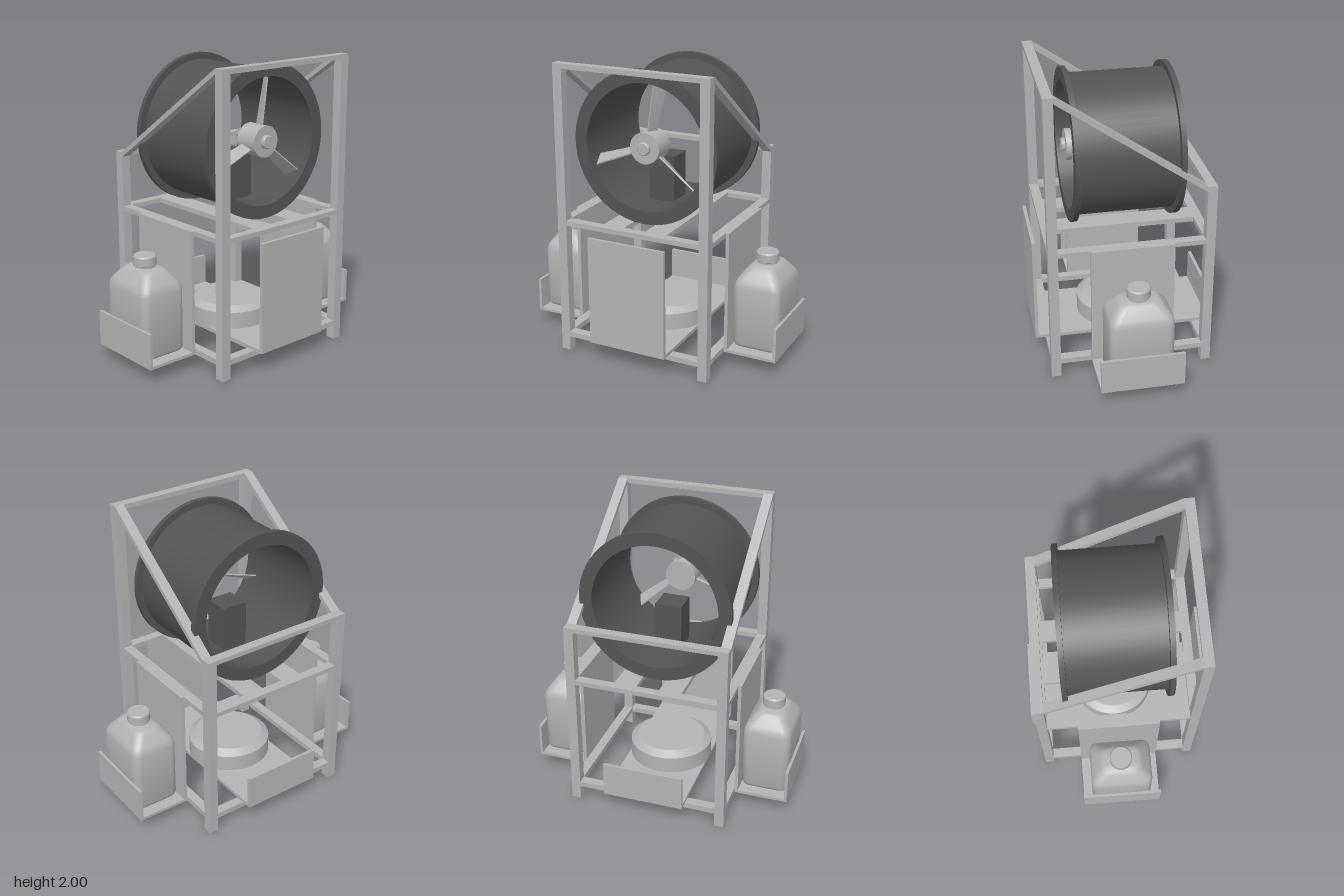
import * as THREE from 'three';
import { toCreasedNormals } from 'three/addons/utils/BufferGeometryUtils.js';

export function createModel() {
  const model = new THREE.Group();
  const grey = new THREE.MeshStandardMaterial({ color: 0xb4b4b4 });
  grey.name = 'light grey';
  const dark = new THREE.MeshStandardMaterial({ color: 0x545454 });
  dark.name = 'dark grey';

  function add(name, geometry, material = grey, parent = model) {
    const mesh = new THREE.Mesh(geometry, material);
    mesh.name = name;
    parent.add(mesh);
    return mesh;
  }

  // box given by its minimum and maximum along each axis
  function box(name, [x0, x1], [y0, y1], [z0, z1], material = grey, parent = model) {
    const mesh = add(name, new THREE.BoxGeometry(x1 - x0, y1 - y0, z1 - z0), material, parent);
    mesh.position.set((x0 + x1) / 2, (y0 + y1) / 2, (z0 + z1) / 2);
    return mesh;
  }

  function lathe(points, segments = 48) {
    const g = new THREE.LatheGeometry(points.map(([r, y]) => new THREE.Vector2(r, y)), segments);
    return toCreasedNormals(g, 0.5);
  }

  // frame
  const frame = new THREE.Group();
  frame.name = 'frame';
  model.add(frame);
  const inner = 0.485, outer = 0.55;
  for (const s of [-1, 1]) {
    const xs = s > 0 ? [inner, outer] : [-outer, -inner];
    box('frontPost', xs, [0, 2], [inner, outer], grey, frame);
    box('backPost', xs, [0, 1.33], [-outer, -inner], grey, frame);
    for (const [y0, y1] of [[0.1, 0.137], [0.915, 0.947]]) {
      box('sideRail', xs, [y0, y1], [-inner, inner], grey, frame);
      box('crossRail', [-inner, inner], [y0, y1], s > 0 ? [inner, outer] : [-outer, -inner], grey, frame);
      box('slat', s > 0 ? [0.078, 0.23] : [-0.23, -0.078], [y0, y1], [-inner, inner], grey, frame);
    }
    // sloping side bar, a box sheared along its length
    const slope = new THREE.BoxGeometry(0.065, 0.036, inner * 2);
    const p = slope.attributes.position;
    for (let i = 0; i < p.count; i++) p.setY(i, p.getY(i) + p.getZ(i) * 0.69);
    slope.computeVertexNormals();
    add('slopingBar', slope, grey, frame).position.set(s * 0.5175, 1.647, 0);
  }
  box('topFrontRail', [-inner, inner], [1.967, 2], [inner, outer], grey, frame);
  box('topBackRail', [-inner, inner], [1.3, 1.33], [-outer, -inner], grey, frame);

  // base tray with a tall front panel and a low back panel
  box('basePlate', [-0.278, 0.278], [0.137, 0.16], [-0.62, 0.62]);
  box('frontPanel', [-0.278, 0.278], [0.137, 0.885], [0.6, 0.623]);
  box('backPanel', [-0.278, 0.278], [0.137, 0.375], [-0.623, -0.6]);
  add('baseDrum', lathe([[0, 0.16], [0.287, 0.16], [0.287, 0.275], [0.235, 0.31], [0, 0.31]]));

  // fan duct with a flange at each end
  const fan = new THREE.Group();
  fan.name = 'fan';
  fan.position.y = 1.457;
  model.add(fan);
  add('duct', lathe([
    [0.427, -0.355], [0.515, -0.355], [0.515, -0.32], [0.47, -0.32], [0.47, 0.32],
    [0.515, 0.32], [0.515, 0.355], [0.427, 0.355], [0.427, -0.355],
  ], 64), dark, fan).rotation.x = Math.PI / 2;
  box('motorStand', [-0.092, 0.092], [-0.43, -0.107], [-0.07, 0.11], dark, fan);
  add('hub', lathe([[0, 0.19], [0.105, 0.19], [0.105, 0.35], [0, 0.35]]), grey, fan).rotation.x = Math.PI / 2;
  add('hubCap', lathe([[0.045, 0.345], [0.045, 0.368], [0.038, 0.375], [0, 0.375]], 32), grey, fan).rotation.x = Math.PI / 2;

  // three twisted blades
  const blade = new THREE.BoxGeometry(1, 1, 0.01, 1, 8, 1);
  const bp = blade.attributes.position;
  for (let i = 0; i < bp.count; i++) {
    const t = bp.getY(i) + 0.5, w = bp.getZ(i);
    const pitch = 1.25 - 0.25 * t;
    const u = bp.getX(i) * (0.085 + 0.015 * t);
    const c = Math.cos(pitch), s = Math.sin(pitch);
    bp.setXYZ(i, u * c + w * s, 0.09 + 0.325 * t, 0.27 - u * s + w * c);
  }
  blade.computeVertexNormals();
  for (let k = 0; k < 3; k++) {
    add('blade', blade, grey, fan).rotation.z = THREE.MathUtils.degToRad(-10 + 120 * k);
  }

  // bottle body skinned over rounded rectangles: [y, half x, half z, corner radius]
  function bottleGeometry() {
    const rings = [
      [0.12, 0, 0, 0], [0.12, 0.135, 0.185, 0.045], [0.129, 0.153, 0.203, 0.05], [0.15, 0.163, 0.213, 0.055],
      [0.55, 0.163, 0.213, 0.055], [0.58, 0.157, 0.207, 0.055], [0.605, 0.145, 0.194, 0.055],
      [0.66, 0.104, 0.15, 0.055], [0.677, 0.09, 0.136, 0.055], [0.686, 0.075, 0.12, 0.05], [0.686, 0, 0, 0],
    ];
    const steps = 6, n = 4 * (steps + 1), pos = [], index = [];
    for (const [y, hx, hz, r] of rings) {
      for (let q = 0; q < 4; q++) {
        const sx = q === 0 || q === 3 ? 1 : -1, sz = q < 2 ? 1 : -1;
        for (let j = 0; j <= steps; j++) {
          const a = (q + j / steps) * Math.PI / 2;
          pos.push(sx * (hx - r) + r * Math.cos(a), y, sz * (hz - r) + r * Math.sin(a));
        }
      }
    }
    for (let i = 0; i < rings.length - 1; i++) {
      for (let j = 0; j < n; j++) {
        const a = i * n + j, b = i * n + (j + 1) % n;
        if (i > 0) index.push(a, a + n, b);
        if (i === 0) index.push(a, a + n, b + n);
        else if (i < rings.length - 2) index.push(b, a + n, b + n);
      }
    }
    const g = new THREE.BufferGeometry();
    g.setAttribute('position', new THREE.Float32BufferAttribute(pos, 3));
    g.setIndex(index);
    return toCreasedNormals(g, 0.8);
  }

  // side holders with bottles, mirrored left and right
  const bottle = bottleGeometry();
  const cap = lathe([[0.068, 0.68], [0.068, 0.695], [0.077, 0.7], [0.077, 0.755], [0.07, 0.764], [0, 0.764]], 32);
  for (const s of [-1, 1]) {
    const side = new THREE.Group();
    side.name = s > 0 ? 'leftBottleHolder' : 'rightBottleHolder';
    model.add(side);
    const span = (a, b) => (s > 0 ? [a, b] : [-b, -a]);
    const depth = [-0.277, 0.277];
    box('holderBack', span(0.55, 0.573), [0.1, 0.947], depth, grey, side);
    box('holderFloor', span(0.573, 0.917), [0.1, 0.12], depth, grey, side);
    box('holderLip', span(0.897, 0.917), [0.12, 0.34], depth, grey, side);
    add('bottle', bottle, grey, side).position.x = s * 0.737;
    add('bottleCap', cap, grey, side).position.x = s * 0.737;
  }
  return model;
}
